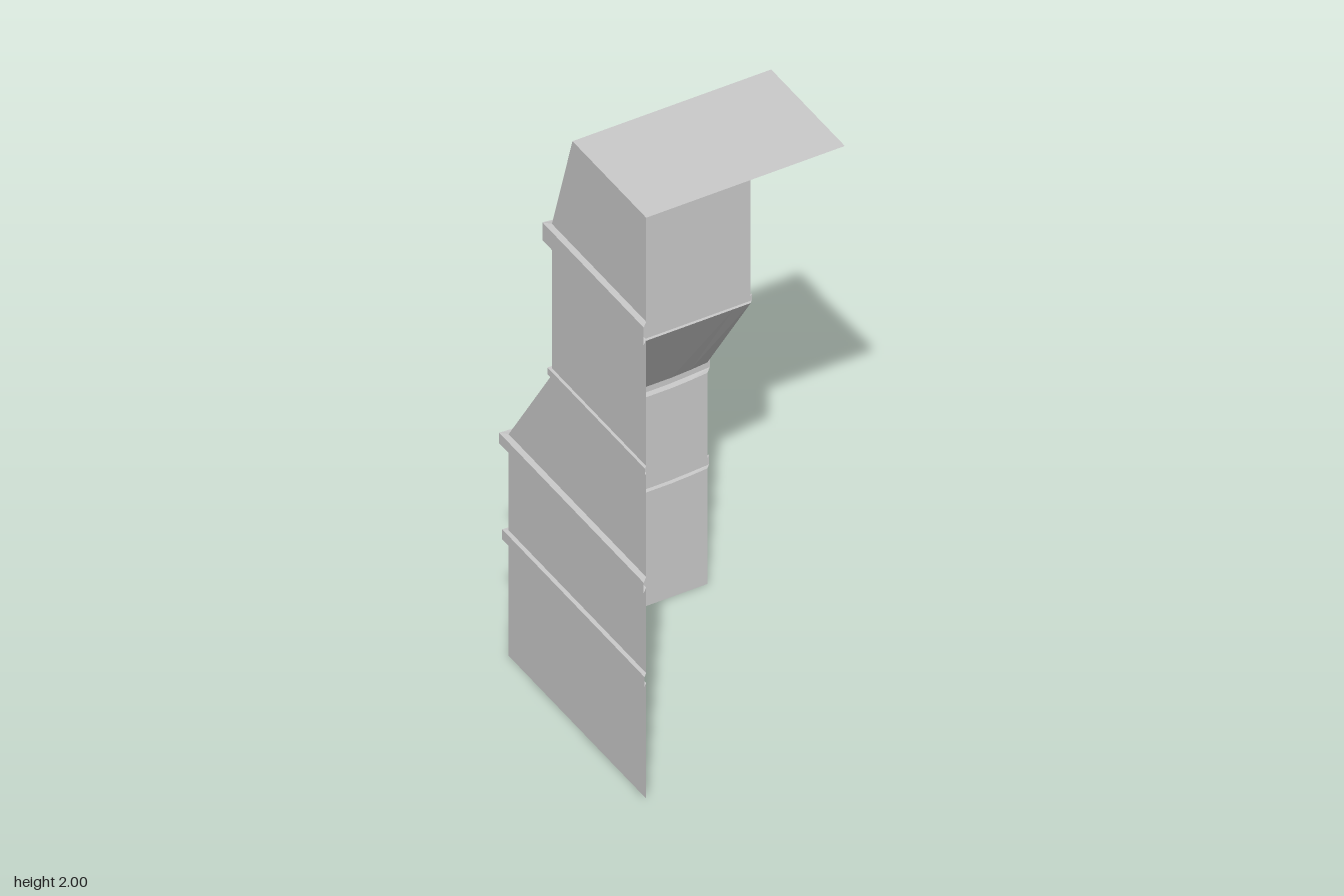
import * as THREE from 'three';

const HALF_W = 0.314, FRONT = 0.368;

// Cross-section running along the side wall, round the corner and across the back.
// out = how far it stands proud (mitred at both open ends), sag = dip in the middle of the back.
function section({ y, back, sag = 0 }, out = 0) {
  const x = HALF_W + out, z = back - out;
  const points = [[-x, y, FRONT + out], [-x, y, z]];
  const dips = [[-0.26, 0.6], [-0.2, 1], [0.2, 1], [0.26, 0.6]];
  for (const [px, k] of dips) points.push([px, y - sag * k, z]);
  points.push([x, y, z]);
  return points;
}

// Skin joining successive cross-sections, bottom to top.
function loft(sections) {
  const pos = [];
  for (let i = 0; i < sections.length - 1; i++) {
    const a = sections[i], b = sections[i + 1];
    for (let j = 0; j < a.length - 1; j++) {
      pos.push(...a[j], ...b[j], ...b[j + 1], ...a[j], ...b[j + 1], ...a[j + 1]);
    }
  }
  const geometry = new THREE.BufferGeometry();
  geometry.setAttribute('position', new THREE.Float32BufferAttribute(pos, 3));
  geometry.computeVertexNormals();
  return geometry;
}

export function createModel() {
  const group = new THREE.Group();
  const material = new THREE.MeshStandardMaterial({
    color: 0xcccccc, flatShading: true, side: THREE.DoubleSide,
  });
  const add = (name, geometry) => {
    const mesh = new THREE.Mesh(geometry, material);
    mesh.name = name;
    group.add(mesh);
    return mesh;
  };

  // Hollow string-course bands: bottom, top, back plane, projection, sag
  const bands = [
    { low: 0.398, high: 0.432, back: -0.369, out: 0.013, sag: 0.007 },
    { low: 0.727, high: 0.763, back: -0.369, out: 0.019, sag: 0.008 },
    { low: 1.122, high: 1.145, back: -0.137, out: 0.009, sag: 0 },
    { low: 1.581, high: 1.642, back: -0.137, out: 0.019, sag: 0.013 },
  ];

  // Wall panels fill the gaps between bands; two of them slope inwards
  let below = { y: 0, back: -0.369 };
  bands.forEach(({ low, high, back, out, sag }, i) => {
    const bottom = { y: low, back, sag }, top = { y: high, back, sag };
    add(`wallPanel${i + 1}`, loft([section(below), section(bottom)]));
    add(`band${i + 1}`, loft([
      section(bottom), section(bottom, out), section(top, out), section(top),
    ]));
    below = top;
  });
  const topBack = -0.027;
  add('slopedTopPanel', loft([section(below), section({ y: 2, back: topBack })]));

  // Flat cap
  const cap = new THREE.PlaneGeometry(2 * HALF_W, FRONT - topBack).rotateX(-Math.PI / 2);
  add('topCap', cap).position.set(0, 2, (FRONT + topBack) / 2);

  return group;
}
